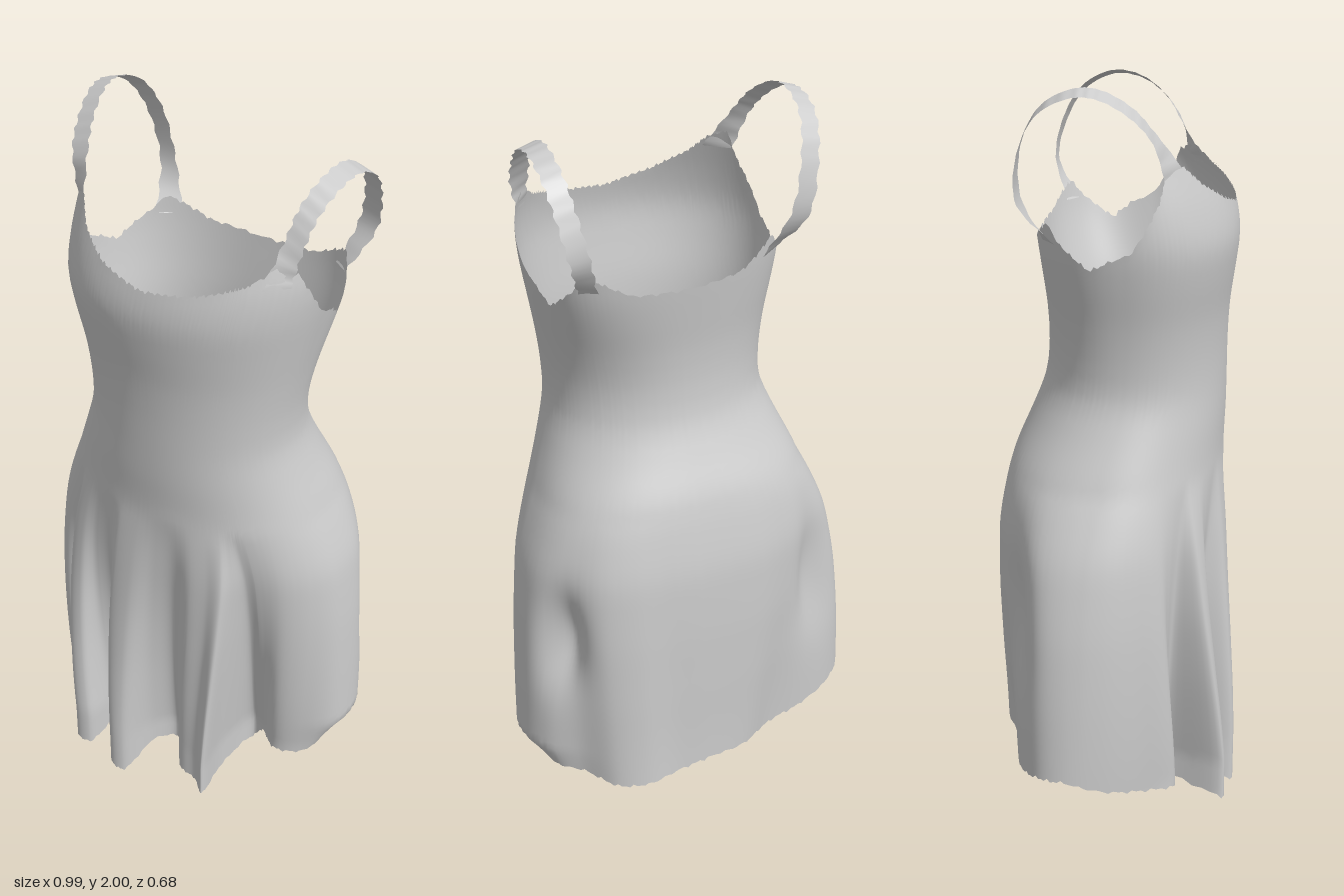
import * as THREE from 'three';

const { lerp, clamp, degToRad, smoothstep } = THREE.MathUtils;
const material = new THREE.MeshStandardMaterial({ color: 0xcccccc, side: THREE.DoubleSide });

// Body outline by height: y, right x, left x, back z, front z
const BODY = [
  [0.0, -0.49, 0.49, -0.32, 0.33], [0.2, -0.49, 0.49, -0.32, 0.32],
  [0.4, -0.475, 0.485, -0.335, 0.3], [0.6, -0.45, 0.475, -0.335, 0.29],
  [0.8, -0.41, 0.455, -0.325, 0.285], [1.0, -0.34, 0.395, -0.285, 0.275],
  [1.1, -0.295, 0.36, -0.24, 0.28], [1.2, -0.255, 0.332, -0.2, 0.28],
  [1.3, -0.258, 0.335, -0.19, 0.28], [1.4, -0.27, 0.35, -0.195, 0.285],
  [1.5, -0.29, 0.37, -0.21, 0.3], [1.6, -0.305, 0.39, -0.225, 0.312],
  [1.7, -0.3, 0.405, -0.235, 0.29], [1.85, -0.285, 0.39, -0.24, 0.23],
];

// Pleated hem, from the back round by the left side: angle, x, z, y
const HEM = [
  [0, 0.03, -0.33, 0.18], [14, 0.13, -0.333, 0.17], [27, 0.23, -0.34, 0.16],
  [40, 0.31, -0.31, 0.16], [52, 0.38, -0.23, 0.18], [65, 0.46, -0.165, 0.18],
  [78, 0.495, -0.09, 0.17], [92, 0.485, 0.0, 0.15], [106, 0.42, 0.06, 0.13],
  [122, 0.34, 0.09, 0.13], [136, 0.275, 0.05, 0.13], [140, 0.235, 0.04, 0.07],
  [143, 0.215, 0.17, 0.05], [147, 0.23, 0.295, 0.045], [153, 0.185, 0.265, 0.05],
  [160, 0.13, 0.26, 0.06], [168, 0.06, 0.18, 0.08], [174, 0.01, 0.23, 0.08],
  [182, -0.03, 0.325, 0.0], [190, -0.075, 0.33, 0.02], [197, -0.1, 0.19, 0.07],
  [205, -0.14, 0.23, 0.07], [212, -0.165, 0.315, 0.03], [218, -0.21, 0.32, 0.04],
  [223, -0.18, 0.15, 0.09], [229, -0.23, 0.16, 0.12], [238, -0.3, 0.2, 0.12],
  [250, -0.39, 0.12, 0.15], [262, -0.46, 0.03, 0.18], [275, -0.497, -0.07, 0.22],
  [290, -0.485, -0.14, 0.22], [304, -0.41, -0.2, 0.2], [318, -0.3, -0.235, 0.18],
  [332, -0.19, -0.255, 0.17], [346, -0.08, -0.31, 0.17], [360, 0.03, -0.33, 0.18],
];

// Neckline and armholes: angle, y
const TOP = [
  [0, 1.58], [20, 1.59], [35, 1.63], [44, 1.65], [52, 1.61], [73, 1.54], [90, 1.6],
  [104, 1.68], [114, 1.74], [126, 1.76], [138, 1.72], [160, 1.685], [180, 1.67],
  [200, 1.7], [217, 1.75], [227, 1.8], [238, 1.82], [246, 1.74], [268, 1.6],
  [287, 1.55], [308, 1.61], [316, 1.65], [325, 1.63], [340, 1.59], [360, 1.58],
];

// Hollows in the back of the skirt: angle, y, depth, angle spread, y spread
const HOLLOWS = [[60, 0.6, 0.06, 9, 0.14], [310, 0.62, 0.05, 13, 0.2]];

// Linear lookup in a table sorted by its first column
function lookup(table, key, column) {
  let i = 1;
  while (i < table.length - 1 && table[i][0] < key) i++;
  const a = table[i - 1], b = table[i];
  return lerp(a[column], b[column], clamp((key - a[0]) / (b[0] - a[0]), 0, 1));
}

// Smoothed body outline at a height
function outline(y) {
  return [1, 2, 3, 4].map(c =>
    (lookup(BODY, y - 0.04, c) + 2 * lookup(BODY, y, c) + lookup(BODY, y + 0.04, c)) / 4);
}

// Section of the body: round at the waist, squarer behind at bust and hips
function bodyPoint(angle, y) {
  const [x0, x1, z0, z1] = outline(y);
  const a = degToRad(angle), s = Math.sin(a), c = Math.cos(a);
  const bust = smoothstep(y, 1.25, 1.6), hips = 1 - smoothstep(y, 0.9, 1.2);
  const p = c > 0 ? 0.95 - 0.17 * hips - (s > 0 ? 0.25 : 0.12) * bust : 0.95;
  const power = v => Math.sign(v) * Math.abs(v) ** p;
  const dx = (x1 - x0) / 2 * power(s);
  return [(x0 + x1) / 2 + dx, (z0 + z1) / 2 - (z1 - z0) / 2 * power(c) - 0.06 * bust * dx];
}

// Point of the cloth: the body section turns into pleats towards the hem
function clothPoint(angle, y, hem) {
  const [bx, bz] = bodyPoint(angle, y);
  const w = clamp((0.97 - y) / 0.82, 0, 1);
  let x = lerp(bx, hem.x, w), z = lerp(bz, hem.z, w);
  for (const [a, h, depth, da, dy] of HOLLOWS) {
    const d = depth * Math.exp(-(((angle - a) / da) ** 2) - ((y - h) / dy) ** 2);
    const r = Math.hypot(x, z);
    x -= d * x / r;
    z -= d * z / r;
  }
  // left side of the hem curls under
  x -= Math.max(0, 0.24 - y) * 0.8 * Math.exp(-(((angle - 80) / 18) ** 2));
  return [x, y, z];
}

function surface(positions, columns, rows, closed) {
  const index = [];
  const last = closed ? columns : columns - 1;
  for (let i = 0; i < rows - 1; i++) {
    for (let j = 0; j < last; j++) {
      const a = i * columns + j, b = i * columns + (j + 1) % columns;
      index.push(a, a + columns, b, b, a + columns, b + columns);
    }
  }
  const geometry = new THREE.BufferGeometry();
  geometry.setAttribute('position', new THREE.Float32BufferAttribute(positions, 3));
  geometry.setIndex(index);
  geometry.computeVertexNormals();
  return geometry;
}

// Bodice and skirt in one cloth
function dressGeometry() {
  const columns = (HEM.length - 1) * 8, rows = 70;
  const hemCurve = new THREE.CatmullRomCurve3(
    HEM.slice(0, -1).map(([, x, z]) => new THREE.Vector3(x, 0, z)), true);
  const positions = [];
  for (let i = 0; i < rows; i++) {
    for (let j = 0; j < columns; j++) {
      const k = Math.floor(j / 8), f = (j % 8) / 8;
      const angle = lerp(HEM[k][0], HEM[k + 1][0], f);
      const ragged = 0.006 * Math.sin(j * 2.3) * Math.sin(j * 0.71);
      const bottom = Math.max(0, lerp(HEM[k][3], HEM[k + 1][3], f) + ragged);
      const y = lerp(bottom, lookup(TOP, angle, 1) + ragged, i / (rows - 1));
      positions.push(...clothPoint(angle, y, hemCurve.getPoint(j / columns)));
    }
  }
  return surface(positions, columns, rows, true);
}

// Ribbon over the shoulder; each end [inner angle, outer angle, y] lies on the bodice
function strapGeometry(front, path, back, side) {
  const end = ([inner, outer, y], k) => {
    const [x, z] = bodyPoint(k < 0 ? inner : outer, y);
    return new THREE.Vector3(x, y, z);
  };
  const edges = [-1, 1].map(k => new THREE.CatmullRomCurve3([
    end(front, k),
    ...path.map(([x, y, z]) => new THREE.Vector3(x + k * side * 0.025, y - k * 0.008, z)),
    end(back, k),
  ]));
  const positions = [], rows = 60;
  for (let i = 0; i < rows; i++) {
    edges.forEach((edge, e) => {
      const p = edge.getPoint(i / (rows - 1));
      positions.push(p.x + 0.004 * Math.sin(i * 1.9 + e), p.y, p.z);
    });
  }
  return surface(positions, 2, rows, false);
}

export function createModel() {
  const model = new THREE.Group();
  model.name = 'dress';
  const add = (name, geometry) => {
    const mesh = new THREE.Mesh(geometry, material);
    mesh.name = name;
    model.add(mesh);
  };
  add('bodiceAndSkirt', dressGeometry());
  add('leftStrap', strapGeometry([131, 117, 1.71], [
    [0.36, 1.81, 0.115], [0.368, 1.88, 0.07], [0.38, 1.93, 0], [0.385, 1.942, -0.08],
    [0.383, 1.9, -0.165], [0.372, 1.82, -0.215], [0.35, 1.71, -0.237]], [38, 50, 1.6], 1));
  add('rightStrap', strapGeometry([225, 242, 1.77], [
    [-0.265, 1.88, 0.125], [-0.285, 1.94, 0.075], [-0.305, 1.985, 0], [-0.31, 1.99, -0.06],
    [-0.305, 1.95, -0.145], [-0.285, 1.86, -0.2], [-0.255, 1.72, -0.215]], [325, 311, 1.6], -1));
  return model;
}
